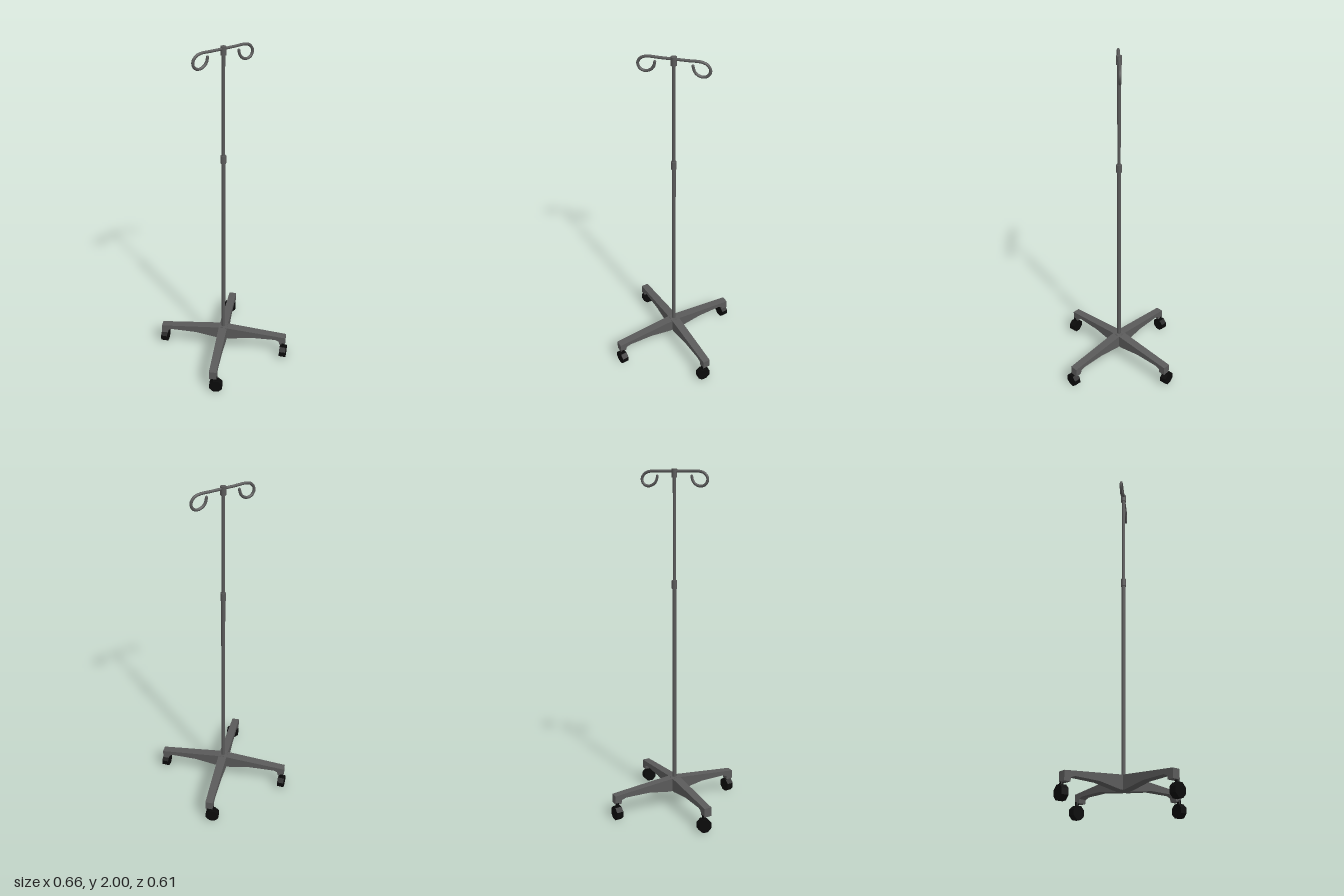
import * as THREE from 'three';

export function createModel() {
  const model = new THREE.Group();
  const metal = new THREE.MeshStandardMaterial({ color: 0x5a5a5a });
  const metalFlat = new THREE.MeshStandardMaterial({ color: 0x5a5a5a });
  metalFlat.flatShading = true;
  const rubber = new THREE.MeshStandardMaterial({ color: 0x0a0a0a });
  rubber.flatShading = true;

  const add = (name, geometry, material, parent = model) => {
    const mesh = new THREE.Mesh(geometry, material);
    mesh.name = name;
    parent.add(mesh);
    return mesh;
  };

  // Upright rod between two heights
  const rod = (name, radius, y0, y1, material = metal, sides = 12) => {
    const mesh = add(name, new THREE.CylinderGeometry(radius, radius, y1 - y0, sides), material);
    mesh.position.y = (y0 + y1) / 2;
    return mesh;
  };

  // Telescopic pole with its collar and top cap
  rod('lowerPole', 0.0115, 0.1, 1.36);
  rod('upperPole', 0.0095, 1.36, 1.98);
  rod('collar', 0.016, 1.335, 1.382, metalFlat);
  rod('topCap', 0.016, 1.953, 2.0, metalFlat);

  // Base legs: side profile (distance from pole, height), narrowing to the tip
  const profile = new THREE.Shape([
    [0, 0.097], [0.045, 0.097], [0.18, 0.12], [0.335, 0.122], [0.36, 0.112],
    [0.364, 0.09], [0.402, 0.09], [0.402, 0.143], [0, 0.18],
  ].map(([d, y]) => new THREE.Vector2(d, y)));
  const legGeo = new THREE.ExtrudeGeometry(profile, { depth: 1, bevelEnabled: false });
  const pos = legGeo.attributes.position;
  for (let i = 0; i < pos.count; i++) {
    const width = 0.053 - 0.02 * pos.getX(i);
    pos.setZ(i, (pos.getZ(i) - 0.5) * width);
  }
  legGeo.computeVertexNormals();
  for (let k = 0; k < 4; k++) {
    add('leg', legGeo, metalFlat).rotation.y = Math.PI / 4 + (k * Math.PI) / 2;
  }

  // Casters, slightly swivelled, mirrored to the four corners
  const wheelGeo = new THREE.CylinderGeometry(0.0415, 0.0415, 0.04, 8)
    .rotateY(Math.PI / 8).rotateX(Math.PI / 2);
  const stemGeo = new THREE.CylinderGeometry(0.011, 0.011, 0.04, 8);
  for (const sx of [-1, 1]) {
    for (const sz of [-1, 1]) {
      const caster = new THREE.Group();
      caster.name = 'caster';
      caster.position.set(sx * 0.288, 0.0383, sz * 0.263);
      caster.rotation.y = Math.atan2(0.75 * sx, 0.65 * sz);
      add('wheel', wheelGeo, rubber, caster);
      add('casterStem', stemGeo, rubber, caster).position.y = 0.04;
      model.add(caster);
    }
  }

  // Two curled hooks on a cross bar
  const hookPoints = [
    [0, 1.987], [0.07, 1.987], [0.142, 1.987], [0.172, 1.976], [0.19, 1.947],
    [0.179, 1.918], [0.15, 1.907], [0.118, 1.92], [0.104, 1.94], [0.099, 1.962],
  ];
  for (const s of [-1, 1]) {
    const path = new THREE.CatmullRomCurve3(hookPoints.map(([z, y]) => new THREE.Vector3(0, y, s * z)));
    const hook = new THREE.Group();
    hook.name = 'hook';
    add('hookTube', new THREE.TubeGeometry(path, 32, 0.008, 8), metal, hook);
    const tip = add('hookTip', new THREE.SphereGeometry(0.008, 8, 6), metal, hook);
    tip.position.set(0, 1.962, s * 0.099);
    model.add(hook);
  }

  return model;
}
